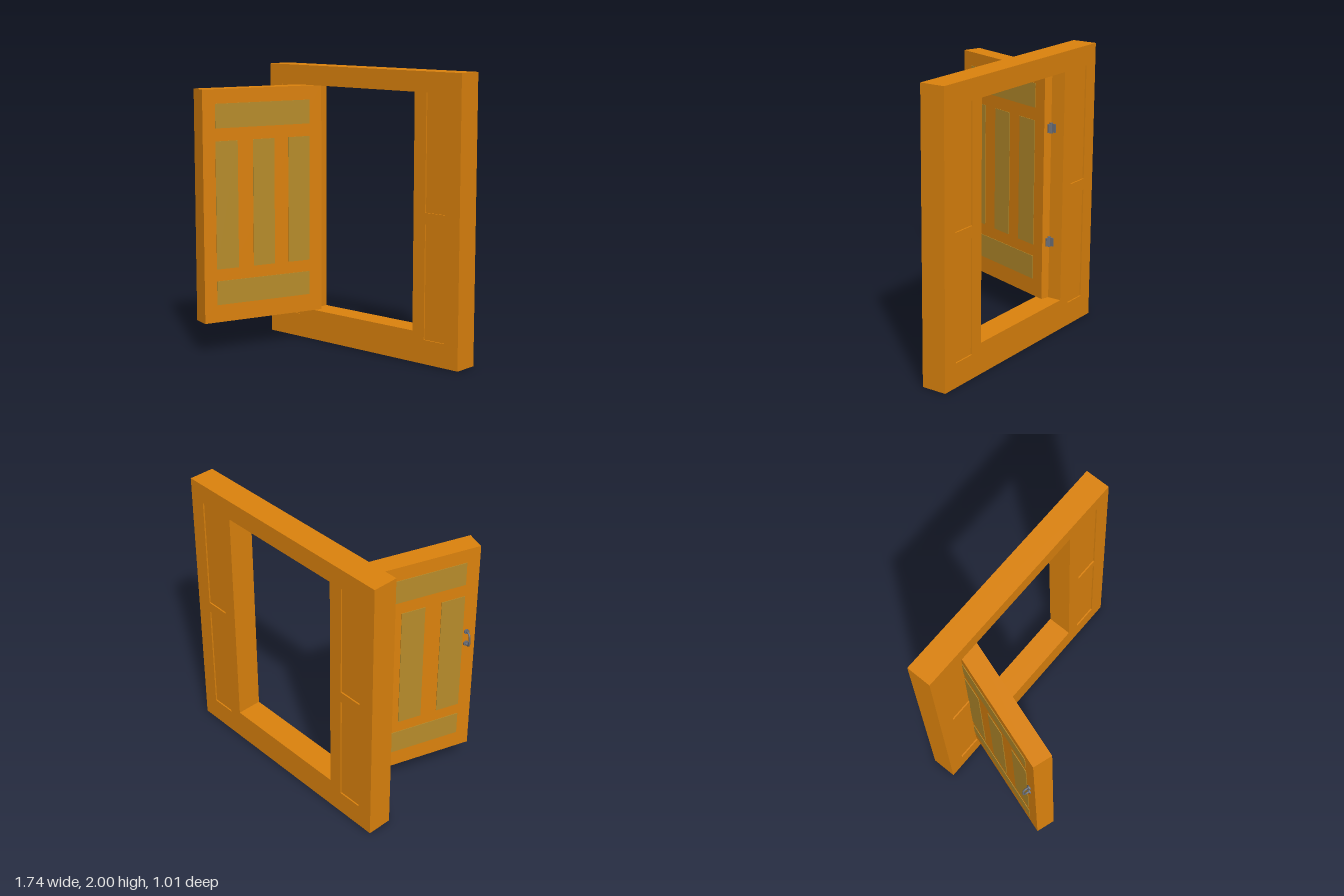
import * as THREE from 'three';

const wood = new THREE.MeshStandardMaterial({ color: 0xdd830d });
const panelWood = new THREE.MeshStandardMaterial({ color: 0xb88d2b });
const metal = new THREE.MeshStandardMaterial({ color: 0x6a6e78 });

function add(parent, name, geometry, material, x = 0, y = 0, z = 0) {
  const mesh = new THREE.Mesh(geometry, material);
  mesh.name = name;
  mesh.position.set(x, y, z);
  parent.add(mesh);
  return mesh;
}

// Box given by its minimum and maximum corners
function block(parent, name, material, [x0, y0, z0], [x1, y1, z1]) {
  return add(parent, name, new THREE.BoxGeometry(x1 - x0, y1 - y0, z1 - z0), material,
    (x0 + x1) / 2, (y0 + y1) / 2, (z0 + z1) / 2);
}

function rectangle(Type, x0, y0, x1, y1) {
  const r = new Type();
  r.moveTo(x0, y0);
  r.lineTo(x1, y0);
  r.lineTo(x1, y1);
  r.lineTo(x0, y1);
  r.closePath();
  return r;
}

// Frame layer with the doorway cut out, plus optional panel cut-outs
function frameLayer(depth, withPanels) {
  const shape = rectangle(THREE.Shape, -0.87, 0, 0.87, 2);
  shape.holes.push(rectangle(THREE.Path, -0.48, 0.22, 0.48, 1.86));
  if (withPanels) {
    for (const x of [-0.755, 0.58]) {
      for (const [y0, y1] of [[0.17, 0.97], [1.05, 1.86]]) {
        shape.holes.push(rectangle(THREE.Path, x, y0, x + 0.175, y1));
      }
    }
  }
  return new THREE.ExtrudeGeometry(shape, { depth, bevelEnabled: false });
}

function createFrame() {
  const frame = new THREE.Group();
  frame.name = 'doorFrame';
  const back = -0.505, depth = 0.18, recess = 0.01;
  add(frame, 'frameCore', frameLayer(depth - 2 * recess, false), wood, 0, 0, back + recess);
  add(frame, 'frameBackFace', frameLayer(recess, true), wood, 0, 0, back);
  add(frame, 'frameFrontFace', frameLayer(recess, true), wood, 0, 0, back + depth - recess);
  return frame;
}

// Pull handle bowed away from the -x face of the door
function createHandle() {
  const handle = new THREE.Group();
  handle.name = 'handle';
  const path = new THREE.CatmullRomCurve3([
    [0, -0.048], [-0.03, -0.05], [-0.046, -0.036], [-0.048, 0],
    [-0.046, 0.036], [-0.03, 0.05], [0, 0.048],
  ].map(([x, y]) => new THREE.Vector3(x, y, 0)));
  add(handle, 'handleGrip', new THREE.TubeGeometry(path, 32, 0.007, 10), metal);
  for (const y of [-0.048, 0.048]) {
    const plate = add(handle, 'handlePlate', new THREE.CylinderGeometry(0.018, 0.018, 0.01, 20), metal, -0.005, y, 0);
    plate.rotation.z = Math.PI / 2;
  }
  return handle;
}

function createDoor() {
  // Local +z runs from the hinge edge to the free edge
  const door = new THREE.Group();
  door.name = 'door';
  const thick = 0.137, width = 0.935, proud = 0.004;
  block(door, 'doorLeaf', wood, [-thick, 0.22, 0], [0, 1.86, width]);

  // Thin raised panels on both faces: z start, z end, bottom, top
  const panels = [
    [0.1, 0.84, 1.59, 1.76],
    [0.1, 0.27, 0.6, 1.5],
    [0.383, 0.551, 0.6, 1.5],
    [0.67, 0.84, 0.6, 1.5],
    [0.1, 0.84, 0.345, 0.515],
  ];
  for (const [z0, z1, y0, y1] of panels) {
    block(door, 'doorPanel', panelWood, [-0.005, y0, z0], [proud, y1, z1]);
    block(door, 'doorPanel', panelWood, [-thick - proud, y0, z0], [-thick + 0.005, y1, z1]);
  }

  const handle = createHandle();
  handle.position.set(-thick, 1.16, 0.868);
  door.add(handle);

  door.position.set(-0.421, 0, -0.384);
  door.rotation.y = -Math.PI / 10;
  return door;
}

// Hinge where the door edge meets the jamb
function createHinge(y) {
  const hinge = new THREE.Group();
  hinge.name = 'hinge';
  add(hinge, 'hingePin', new THREE.CylinderGeometry(0.012, 0.012, 0.075, 16), metal);
  block(hinge, 'hingeJambLeaf', metal, [-0.004, -0.03, -0.035], [0.005, 0.03, 0]);
  const leaf = block(hinge, 'hingeDoorLeaf', metal, [0, -0.03, -0.005], [0.035, 0.03, 0.004]);
  leaf.rotation.y = -Math.PI / 10;
  hinge.position.set(-0.476, y, -0.405);
  return hinge;
}

export function createModel() {
  const model = new THREE.Group();
  model.name = 'openPanelDoor';
  model.add(createFrame(), createDoor(), createHinge(0.64), createHinge(1.46));
  return model;
}
